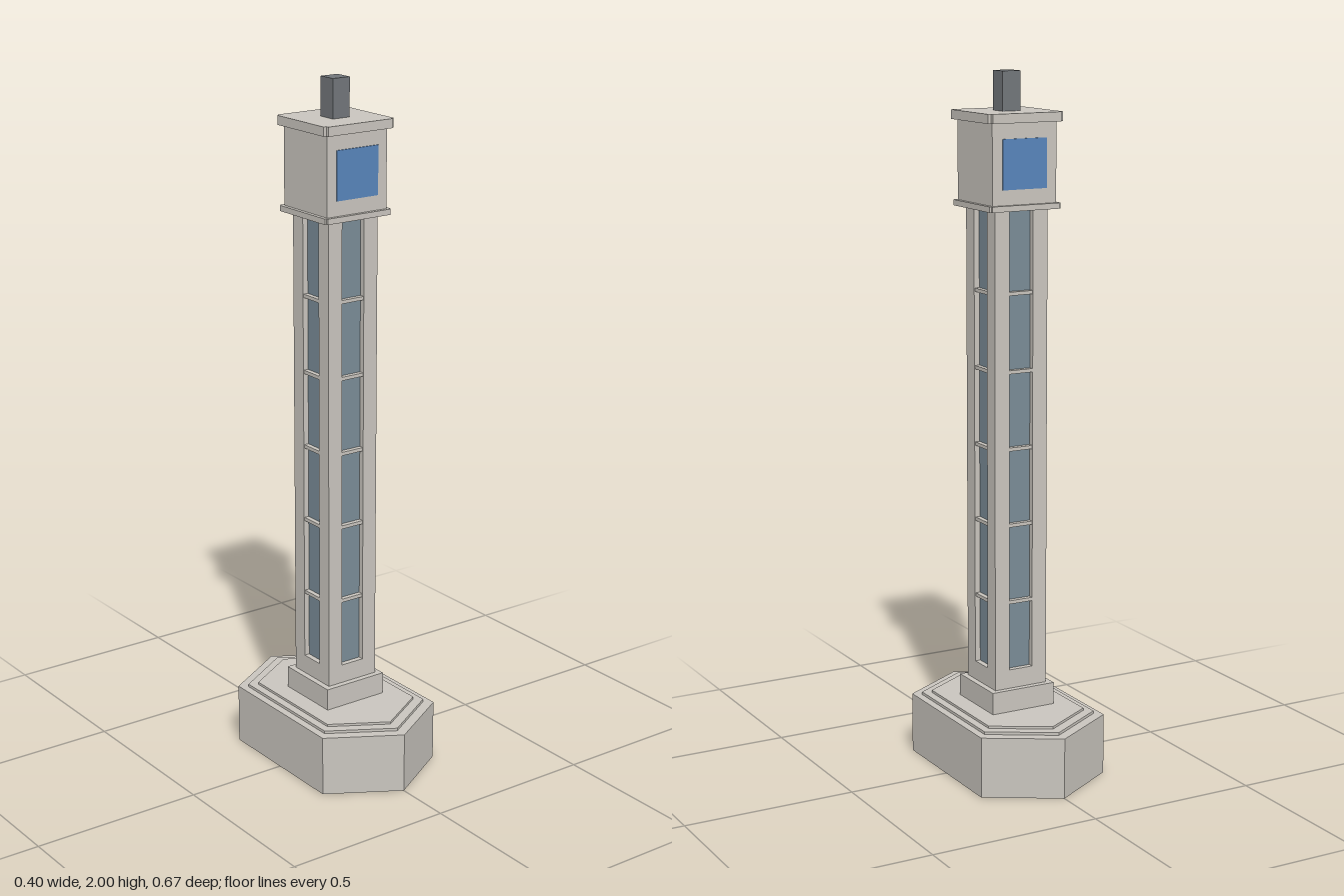
import * as THREE from 'three';

const stone = new THREE.MeshStandardMaterial({ color: 0xc9c5be, side: THREE.DoubleSide });
stone.name = 'stone';
const glass = new THREE.MeshStandardMaterial({ color: 0x7a8c97 });
glass.name = 'glass';
const blue = new THREE.MeshStandardMaterial({ color: 0x5885bb });
blue.name = 'clock blue';
const metal = new THREE.MeshStandardMaterial({ color: 0x72767a });
metal.name = 'dark metal';

function add(parent, name, geometry, material) {
  const mesh = new THREE.Mesh(geometry, material);
  mesh.name = name;
  parent.add(mesh);
  return mesh;
}

// Square block from y0 to y1, half as wide as 2 * half
function block(half, y0, y1) {
  return new THREE.BoxGeometry(half * 2, y1 - y0, half * 2).translate(0, (y0 + y1) / 2, 0);
}

// Plan outline made by turning one quarter's points four times, raised from y0 to y1
function prism(quarter, y0, y1) {
  const points = [];
  for (let i = 0; i < 4; i++) {
    const centre = new THREE.Vector2();
    quarter.forEach(([x, y]) => points.push(new THREE.Vector2(x, y).rotateAround(centre, i * Math.PI / 2)));
  }
  return new THREE.ExtrudeGeometry(new THREE.Shape(points), { depth: y1 - y0, bevelEnabled: false })
    .rotateX(-Math.PI / 2).translate(0, y0, 0);
}

// Square with small notched corners
function notchedSlab(half, notch, y0, y1) {
  const n = half - notch;
  return prism([[half, -n], [half, n], [n, n], [n, half]], y0, y1);
}

// Long hexagonal shell, open below, stepping in at each tier: [half width, side z, peak z, y]
function steppedBase() {
  const rings = [
    [0.2, 0.214, 0.333, 0], [0.2, 0.214, 0.333, 0.176],
    [0.178, 0.193, 0.3, 0.176], [0.178, 0.193, 0.3, 0.184],
    [0.155, 0.175, 0.267, 0.184], [0.155, 0.175, 0.267, 0.191],
    [0, 0, 0, 0.191],
  ];
  const positions = [];
  const indices = [];
  for (const [w, s, p, y] of rings) {
    positions.push(0, y, p, w, y, s, w, y, -s, 0, y, -p, -w, y, -s, -w, y, s);
  }
  for (let r = 0; r < rings.length - 1; r++) {
    for (let i = 0; i < 6; i++) {
      const a = r * 6 + i;
      const b = r * 6 + (i + 1) % 6;
      indices.push(a, b, a + 6);
      if (r < rings.length - 2) indices.push(b, b + 6, a + 6);
    }
  }
  const indexed = new THREE.BufferGeometry();
  indexed.setAttribute('position', new THREE.Float32BufferAttribute(positions, 3));
  indexed.setIndex(indices);
  const geometry = indexed.toNonIndexed();
  geometry.computeVertexNormals();
  return geometry;
}

export function createModel() {
  const tower = new THREE.Group();
  tower.name = 'clockTower';

  add(tower, 'steppedBase', steppedBase(), stone);
  add(tower, 'plinth', block(0.1, 0.191, 0.255), stone);

  // Shaft with a tall recess in each side
  const H = 0.083, W = 0.037, D = 0.02;
  const bottom = 0.31, top = 1.63;
  add(tower, 'shaftFoot', block(H, 0.255, bottom), stone);
  add(tower, 'shaft', prism([[H, -H], [H, -W], [H - D, -W], [H - D, W], [H, W]], bottom, top), stone);

  // Window panes and the bars between them
  const bars = [0.51, 0.735, 0.955, 1.175, 1.395];
  for (let side = 0; side < 4; side++) {
    const strip = new THREE.Group();
    strip.name = 'windowStrip';
    strip.rotation.y = side * Math.PI / 2;
    const edges = [bottom, ...bars, top];
    for (let i = 0; i < edges.length - 1; i++) {
      const pane = add(strip, 'windowPane', new THREE.BoxGeometry(W * 2, edges[i + 1] - edges[i], 0.004), glass);
      pane.position.set(0, (edges[i] + edges[i + 1]) / 2, H - D + 0.002);
    }
    for (const y of bars) {
      const bar = add(strip, 'windowBar', new THREE.BoxGeometry(W * 2, 0.01, D - 0.002), stone);
      bar.position.set(0, y, H - D / 2 - 0.001);
    }
    tower.add(strip);
  }

  // Clock house between two ledges
  add(tower, 'lowerLedge', notchedSlab(0.111, 0.006, 1.626, 1.642), stone);
  add(tower, 'clockHouse', block(0.1, 1.642, 1.865), stone);
  add(tower, 'roofSlab', notchedSlab(0.116, 0.009, 1.865, 1.891), stone);
  for (const s of [1, -1]) {
    const face = add(tower, s > 0 ? 'frontClockFace' : 'backClockFace', new THREE.BoxGeometry(0.138, 0.138, 0.004), blue);
    face.position.set(0, 1.753, s * 0.101);
  }

  add(tower, 'mast', block(0.028, 1.891, 2), metal);
  return tower;
}
